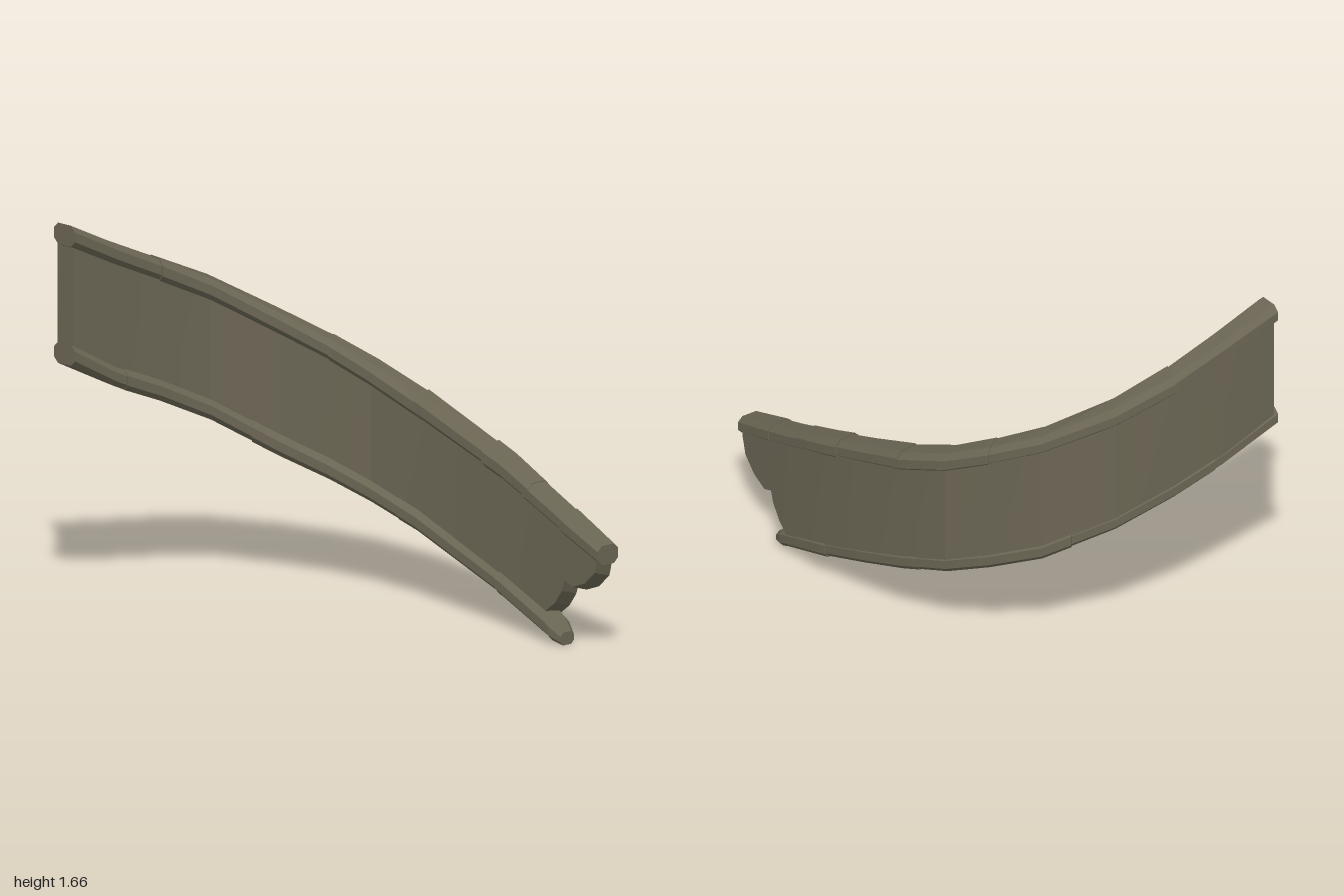
import * as THREE from 'three';
import { toCreasedNormals } from 'three/addons/utils/BufferGeometryUtils.js';

// Centre line of the curved wall: x, z, top rail height, bottom rail height
const PATH = [
  [-0.97, -0.545, 1.63, 1.125], [-0.75, -0.61, 1.52, 1.0], [-0.54, -0.67, 1.42, 0.91],
  [-0.3, -0.7, 1.31, 0.8], [-0.02, -0.63, 1.16, 0.645], [0.17, -0.53, 1.06, 0.555],
  [0.32, -0.42, 0.97, 0.475], [0.47, -0.24, 0.87, 0.385], [0.59, -0.04, 0.78, 0.29],
  [0.71, 0.17, 0.69, 0.195], [0.82, 0.42, 0.58, 0.085], [0.95, 0.73, 0.45, -0.1],
];
const LAST = PATH.length - 1;

// Point on the centre line, with its horizontal outward direction
function pointAt(s) {
  const i = Math.min(Math.floor(s), LAST - 1);
  const [x, z, top, bottom] = PATH[i].map((v, k) => THREE.MathUtils.lerp(v, PATH[i + 1][k], s - i));
  return { x, z, top, bottom, n: normalAt(i).lerp(normalAt(i + 1), s - i).normalize() };
}

function normalAt(i) {
  if (i === 0) return new THREE.Vector2(-0.48, -0.88); // the upper end is cut askew
  const a = PATH[i - 1], b = PATH[Math.min(i + 1, LAST)];
  return new THREE.Vector2(b[1] - a[1], a[0] - b[0]).normalize();
}

// Closed solid through rings of equal point count
function loft(rings, crease) {
  const pos = [], n = rings[0].length;
  const tri = (...p) => p.forEach((v) => pos.push(...v));
  for (let i = 0; i < rings.length - 1; i++) {
    const a = rings[i], b = rings[i + 1];
    for (let j = 0; j < n; j++) {
      const k = (j + 1) % n;
      tri(a[j], a[k], b[j]);
      tri(a[k], b[k], b[j]);
    }
  }
  const first = rings[0], end = rings[rings.length - 1];
  for (let j = 1; j < n - 1; j++) {
    tri(first[0], first[j + 1], first[j]);
    tri(end[0], end[j], end[j + 1]);
  }
  const geo = new THREE.BufferGeometry();
  geo.setAttribute('position', new THREE.Float32BufferAttribute(pos, 3));
  return toCreasedNormals(geo, crease);
}

// Cross-section point: u outward, y absolute height
const place = (p, u, y) => [p.x + p.n.x * u, y, p.z + p.n.y * u];

// Rounded-off stone section, eight sides
const SECTION = [[1, -0.45], [1, 0.45], [0.6, 1], [-0.6, 1], [-1, 0.45], [-1, -0.45], [-0.6, -1], [0.6, -1]];

// One rail stone between two stations; it narrows slightly along its length
function railStone(level, from, to, startSize, endSize, lift) {
  const stations = [from];
  for (let i = Math.floor(from) + 1; i < to; i++) stations.push(i);
  stations.push(to);
  const rings = stations.map((s) => {
    const p = pointAt(s);
    const size = THREE.MathUtils.lerp(startSize, endSize, (s - from) / (to - from));
    return SECTION.map(([u, v]) => place(p, u * 0.06 * size, p[level] + lift + v * 0.045 * size));
  });
  return loft(rings, 0.6);
}

// Wall slab with a broken lower end
function wallPanel() {
  const columns = [];
  for (let i = 0; i < LAST - 1; i++) columns.push([i === 0 ? 0.06 : i, null]);
  const broken = [[0.38, 0.1], [0.45, 0.16], [0.49, 0.22], [0.505, 0.27], [0.55, 0.25],
    [0.62, 0.28], [0.68, 0.34], [0.7, 0.42]];
  const z0 = PATH[LAST - 1][1], z1 = PATH[LAST][1], zPrev = PATH[LAST - 2][1];
  for (const [z, y] of broken) {
    const s = z < z0 ? LAST - 2 + (z - zPrev) / (z0 - zPrev) : LAST - 1 + (z - z0) / (z1 - z0);
    columns.push([s, y]);
  }
  const rings = columns.map(([s, y]) => {
    const p = pointAt(s);
    const low = y ?? p.bottom, inner = y === null ? -0.035 : -0.025;
    return [place(p, 0.054, low), place(p, 0.054, p.top), place(p, inner, p.top),
      place(p, inner, low + (y === null ? 0 : 0.025))];
  });
  return loft(rings, 0.2);
}

export function createModel() {
  const group = new THREE.Group();
  const stone = new THREE.MeshStandardMaterial({ color: 0x6a6553 });
  stone.name = 'weathered stone';
  const add = (name, geo) => {
    const mesh = new THREE.Mesh(geo, stone);
    mesh.name = name;
    group.add(mesh);
  };

  add('wallPanel', wallPanel());

  // Stones: start, end, start size, end size, lift
  const topStones = [[0, 2.05, 1, 0.95, 0], [2, 5.1, 1.04, 0.96, 0], [5, 7.1, 1.03, 1.05, 0],
    [7, 8.7, 1.08, 0.95, 0.005], [8.6, 9.65, 1.1, 0.98, 0.005], [9.5, 10.4, 1.0, 0.94, 0],
    [10.3, 11, 1.04, 0.92, 0]];
  const bottomStones = [[0, 1.3, 1, 0.92, 0], [1.2, 3.7, 1, 0.94, 0], [3.6, 6.7, 1.03, 0.95, 0],
    [6.6, 9.1, 1, 0.93, 0], [8.9, 10.08, 1.02, 0.95, 0], [10.08, 10.24, 0.95, 0.6, 0]];
  topStones.forEach((a, i) => add(`topRailStone${i + 1}`, railStone('top', ...a)));
  bottomStones.forEach((a, i) => add(`bottomRailStone${i + 1}`, railStone('bottom', ...a)));
  return group;
}
